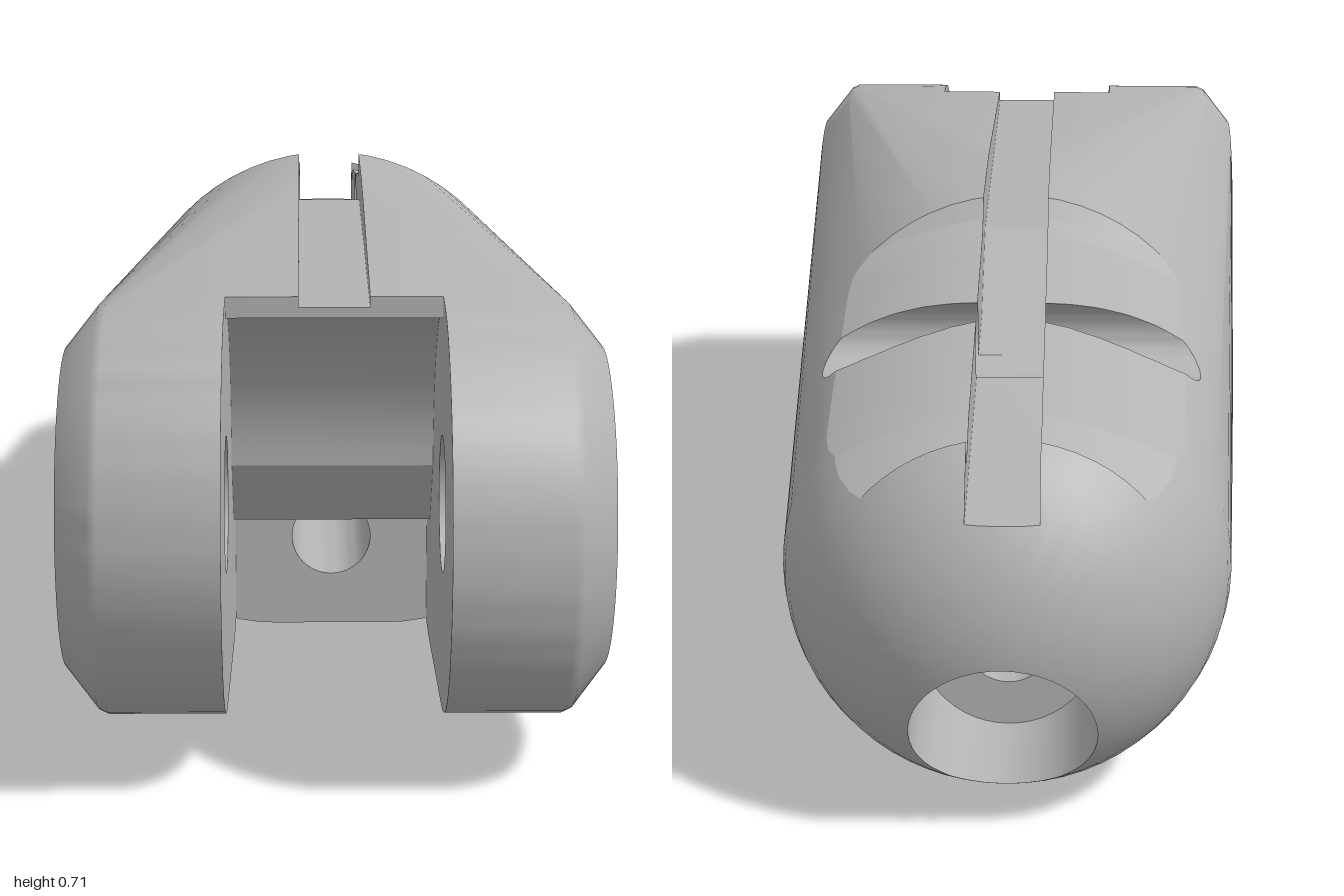
import * as THREE from 'three';
import { toCreasedNormals } from 'three/addons/utils/BufferGeometryUtils.js';
import { ConvexGeometry } from 'three/addons/geometries/ConvexGeometry.js';

const V = (x, y, z) => new THREE.Vector3(x, y, z);
const EPS = 1e-5;

// A convex solid: its polygons (with smooth vertex normals) and bounding planes
function solid(geometry, crease = 0.6) {
  const g = toCreasedNormals(geometry.index ? geometry.toNonIndexed() : geometry, crease);
  const pos = g.attributes.position, nor = g.attributes.normal;
  const polys = [], planes = [];
  for (let i = 0; i < pos.count; i += 3) {
    const v = [0, 1, 2].map(k => ({
      p: V().fromBufferAttribute(pos, i + k),
      n: V().fromBufferAttribute(nor, i + k),
    }));
    const n = v[1].p.clone().sub(v[0].p).cross(v[2].p.clone().sub(v[0].p));
    if (n.length() < 1e-9) continue;
    n.normalize();
    polys.push({ v, n });
    const w = n.dot(v[0].p);
    if (!planes.some(q => q.n.dot(n) > 1 - 1e-10 && Math.abs(q.w - w) < 1e-6)) planes.push({ n, w });
  }
  return { polys, planes };
}

// Split a polygon by a plane into [front, back]
function split(poly, plane, keepSame) {
  const d = poly.v.map(a => plane.n.dot(a.p) - plane.w);
  if (d.every(x => Math.abs(x) < EPS)) {
    return keepSame && poly.n.dot(plane.n) > 0 ? [poly, null] : [null, poly];
  }
  if (d.every(x => x < EPS)) return [null, poly];
  if (d.every(x => x > -EPS)) return [poly, null];
  const f = [], b = [];
  poly.v.forEach((a, i) => {
    const j = (i + 1) % d.length, c = poly.v[j];
    if (d[i] > -EPS) f.push(a);
    if (d[i] < EPS) b.push(a);
    if ((d[i] > EPS && d[j] < -EPS) || (d[i] < -EPS && d[j] > EPS)) {
      const t = d[i] / (d[i] - d[j]);
      const m = { p: a.p.clone().lerp(c.p, t), n: a.n.clone().lerp(c.n, t).normalize() };
      f.push(m);
      b.push(m);
    }
  });
  return [{ v: f, n: poly.n }, { v: b, n: poly.n }];
}

function outside(polys, cutter, keepSame) {
  return polys.flatMap(poly => {
    const out = [];
    let rest = poly;
    for (const plane of cutter.planes) {
      const [f, b] = split(rest, plane, keepSame);
      if (f) out.push(f);
      rest = b;
      if (!rest) return [poly];
    }
    return out;
  });
}

function inside(polys, hull) {
  return polys.flatMap(poly => {
    let rest = poly;
    for (const plane of hull.planes) {
      rest = split(rest, plane, false)[1];
      if (!rest) return [];
    }
    return [rest];
  });
}

function toGeometry(polys, flip) {
  const p = [], n = [], s = flip ? -1 : 1;
  for (const { v } of polys) {
    for (let i = 1; i < v.length - 1; i++) {
      for (const a of flip ? [v[0], v[i + 1], v[i]] : [v[0], v[i], v[i + 1]]) {
        p.push(a.p.x, a.p.y, a.p.z);
        n.push(a.n.x * s, a.n.y * s, a.n.z * s);
      }
    }
  }
  const g = new THREE.BufferGeometry();
  g.setAttribute('position', new THREE.Float32BufferAttribute(p, 3));
  g.setAttribute('normal', new THREE.Float32BufferAttribute(n, 3));
  return g;
}

// Prism across x from a (z, y) outline
function prism(points, x0, x1) {
  const shape = new THREE.Shape(points.map(q => new THREE.Vector2(q[0], q[1])));
  const g = new THREE.ExtrudeGeometry(shape, { depth: x1 - x0, bevelEnabled: false, steps: 1 });
  return solid(g.rotateY(-Math.PI / 2).translate(x1, 0, 0));
}
const box = (z0, z1, y0, y1, w) => prism([[z0, y0], [z1, y0], [z1, y1], [z0, y1]], -w, w);

const boreX = (r, x0, x1, y, z, sides = 48) => solid(
  new THREE.CylinderGeometry(r, r, x1 - x0, sides).rotateZ(Math.PI / 2).translate((x0 + x1) / 2, y, z));
const boreZ = (r, z0, z1, y) => solid(
  new THREE.CylinderGeometry(r, r, z1 - z0, 48).rotateX(Math.PI / 2).translate(0, y, (z0 + z1) / 2));

// Outer shell: chamfered knuckle, low hump and round tip wrapped together
function shell() {
  const pts = [], N = 64;
  for (let i = 0; i < N; i++) {
    const a = (i / N) * Math.PI * 2, c = Math.cos(a), s = Math.sin(a);
    for (const side of [-1, 1]) {
      for (const [x, r] of [[0.375, 0.225], [0.328, 0.285], [0.315, 0.291]]) {
        pts.push(V(side * x, 0.366 + r * s, 0.709 + r * c));
      }
    }
    for (const z of [0.02, -0.18]) pts.push(V(0.345 * c, 0.358 + 0.357 * s, z));
    for (let k = 0; k < 14; k++) {
      const t = (k / 14) * Math.PI / 2, r = 0.32 * Math.cos(t);
      pts.push(V(r * c, 0.322 + r * s, -0.68 - 0.32 * Math.sin(t)));
    }
  }
  pts.push(V(0, 0.322, -1));
  return solid(new ConvexGeometry(pts), 0.5);
}

// Recessed pad: strips above a crowned surface, valley profile along z
function padStrips() {
  const front = [[-0.165, 0.95], [-0.165, 0.75], [-0.18, 0.715], [-0.2, 0.685],
    [-0.23, 0.668], [-0.28, 0.658], [-0.78, 0.58], [-0.78, 0.95]];
  const back = [[-0.78, 0.95], [-0.78, 0.58], [-0.87, 0.535], [-0.87, 0.95]];
  const drop = x => 1.17 * x * x, count = 14, out = [];
  for (const profile of [front, back]) {
    for (let i = 0; i < count; i++) {
      const xs = [i, i + 1].map(k => -0.3 + (0.6 * k) / count);
      const c = solid(new ConvexGeometry(xs.flatMap(x => profile.map(([z, y]) => V(x, y - drop(x), z)))), 0.1);
      // smooth the crown across the strips
      for (const poly of c.polys) {
        if (poly.n.y > -0.2) continue;
        for (const a of poly.v) a.n.set(poly.n.y * 2.34 * a.p.x, poly.n.y, poly.n.z).normalize();
      }
      out.push(c);
    }
  }
  return out;
}

export function createModel() {
  const grey = new THREE.MeshStandardMaterial({ color: 0xb3b3b3 });
  grey.name = 'grey';

  // Curved stop wall of the fork slot
  const arc = [[0.68, 0.34]];
  for (let i = 0; i <= 16; i++) {
    const a = (i / 16) * 1.533;
    arc.push([0.69 - 0.27 * Math.cos(a), 0.34 + 0.29 * Math.sin(a)]);
  }
  arc[arc.length - 1][0] = 0.68;

  const cuts = {
    forkSlot: [
      box(0.68, 1.2, -0.2, 0.95, 0.152),
      prism(arc, -0.152, 0.152),
      prism([[0.42, 0.34], [0.34, 0.23], [0.68, 0.23], [0.68, 0.34]], -0.152, 0.152),
      box(0.23, 0.68, -0.2, 0.23, 0.152),
    ],
    pinHole: [boreX(0.097, -0.6, 0.6, 0.367, 0.707)],
    hexPocket: [boreX(0.184, 0.245, 0.6, 0.367, 0.707, 6)],
    roundPocket: [boreX(0.184, -0.6, -0.245, 0.367, 0.707)],
    cordChannel: [boreZ(0.062, -1.2, 0.5, 0.168)],
    tipBore: [boreZ(0.13, -1.25, -0.64, 0.168)],
    topGroove: [
      prism([[-0.955, 0.487], [-0.28, 0.555], [-0.12, 0.645], [-0.12, 0.95], [-0.955, 0.95]], -0.05, 0.05),
      box(-0.12, 0.8, 0.645, 0.95, 0.05),
    ],
    crossHole: [boreX(0.056, -0.6, 0.6, 0.577, -0.47)],
    pad: padStrips(),
  };
  // Hexagon stands on a corner
  const all = Object.values(cuts).flat();
  const hull = shell();
  const group = new THREE.Group();
  const add = (name, polys, flip) => {
    const mesh = new THREE.Mesh(toGeometry(polys, flip), grey);
    mesh.name = name;
    group.add(mesh);
  };

  add('body', all.reduce((polys, c) => outside(polys, c, false), hull.polys), false);
  for (const [name, list] of Object.entries(cuts)) {
    const polys = list.flatMap(c => all.reduce(
      (rest, other) => other === c ? rest : outside(rest, other, all.indexOf(c) < all.indexOf(other)),
      inside(c.polys, hull)));
    add(name, polys, true);
  }
  return group;
}
